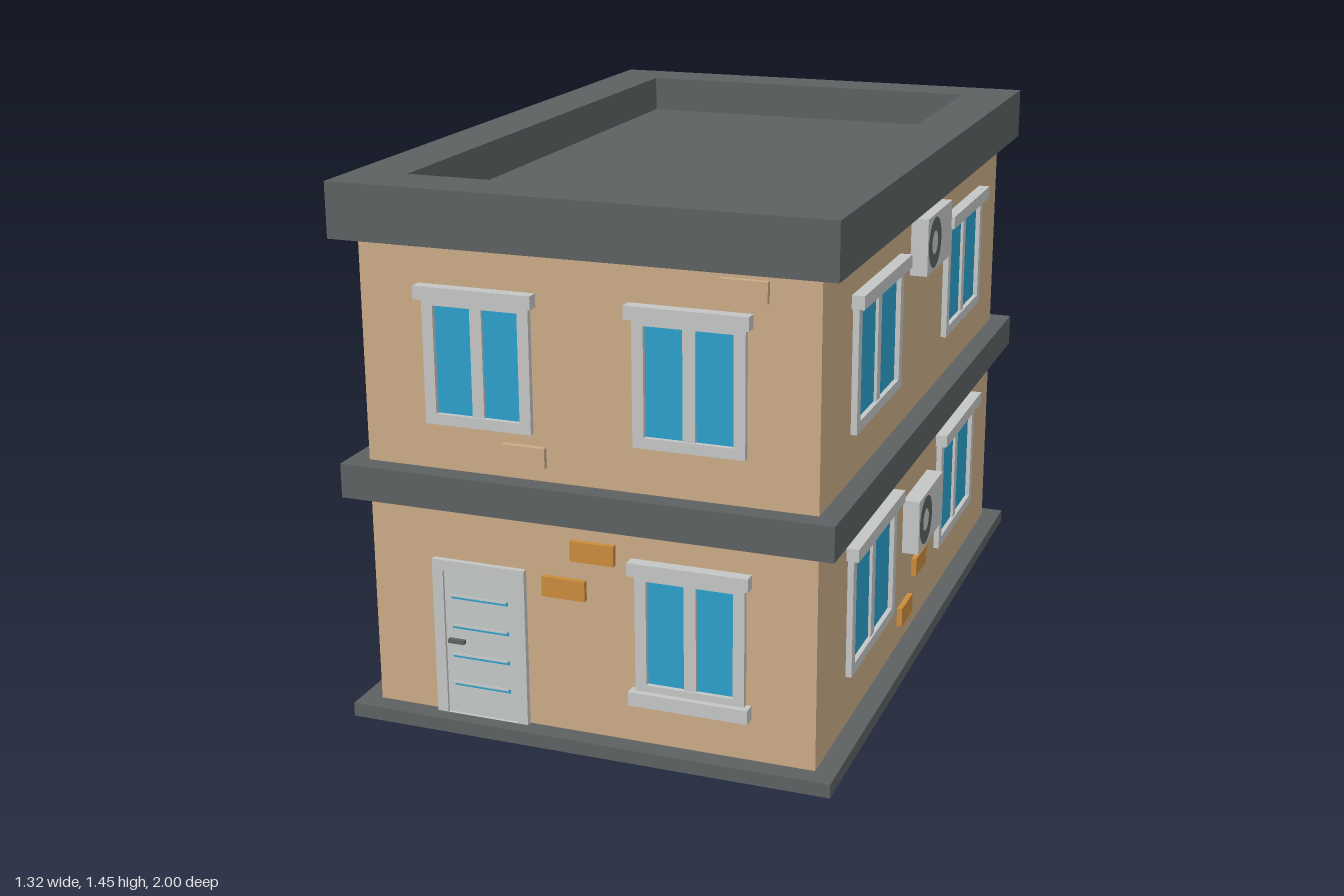
import * as THREE from 'three';

const mat = (name, color) => {
  const m = new THREE.MeshStandardMaterial({ color });
  m.name = name;
  return m;
};

export function createModel() {
  const plaster = mat('plaster', 0xc9aa86);
  const slate = mat('slate', 0x5c6062);
  const trim = mat('trim', 0xc3c5c5);
  const doorPaint = mat('doorPaint', 0xc2c8c7);
  const glass = mat('glass', 0x2d9fcc);
  const brickOrange = mat('brickOrange', 0xc98b3c);

  const house = new THREE.Group();
  house.name = 'house';

  const add = (parent, name, geometry, material) => {
    const mesh = new THREE.Mesh(geometry, material);
    mesh.name = name;
    parent.add(mesh);
    return mesh;
  };
  // Box given by its minimum and maximum corners
  const box = (parent, name, material, x0, x1, y0, y1, z0, z1) => {
    const mesh = add(parent, name, new THREE.BoxGeometry(x1 - x0, y1 - y0, z1 - z0), material);
    mesh.position.set((x0 + x1) / 2, (y0 + y1) / 2, (z0 + z1) / 2);
    return mesh;
  };
  const rect = (Type, x0, x1, y0, y1) => new Type([
    new THREE.Vector2(x0, y0), new THREE.Vector2(x1, y0),
    new THREE.Vector2(x1, y1), new THREE.Vector2(x0, y1),
  ]);
  // Rectangular ring, extruded along z
  const frame = (outer, inner, depth) => {
    const shape = rect(THREE.Shape, ...outer);
    shape.holes.push(rect(THREE.Path, ...inner));
    return new THREE.ExtrudeGeometry(shape, { depth, bevelEnabled: false });
  };

  // Walls and slabs
  const W = 0.605, D = 0.945;
  box(house, 'baseSlab', slate, -0.66, 0.66, 0, 0.037, -1, 1);
  box(house, 'lowerWalls', plaster, -W, W, 0.037, 0.62, -D, D);
  box(house, 'middleSlab', slate, -0.66, 0.66, 0.62, 0.712, -1, 1);
  box(house, 'upperWalls', plaster, -W, W, 0.712, 1.302, -D, D);

  // Roof slab with a raised parapet
  box(house, 'roofDeck', slate, -0.51, 0.51, 1.302, 1.345, -0.85, 0.85);
  const parapet = add(house, 'parapet',
    frame([-0.66, 0.66, -1, 1], [-0.51, 0.51, -0.85, 0.85], 0.145), slate);
  parapet.rotation.x = -Math.PI / 2;
  parapet.position.y = 1.302;

  // Wall groups: local x runs along the wall, z = 0 is its surface
  const wall = (name, angle, distance) => {
    const g = new THREE.Group();
    g.name = name;
    g.rotation.y = angle;
    g.position.set(Math.sin(angle) * distance, 0, Math.cos(angle) * distance);
    house.add(g);
    return g;
  };
  const front = wall('frontWall', 0, D);
  const back = wall('backWall', Math.PI, D);
  const leftSide = wall('leftWall', Math.PI / 2, W);
  const rightSide = wall('rightWall', -Math.PI / 2, W);

  // Window centred at x, with its frame's bottom edge at y
  const addWindow = (parent, x, y, halfWidth, sill) => {
    const g = new THREE.Group();
    g.name = 'window';
    g.position.set(x, y, 0);
    parent.add(g);
    const h = halfWidth, i = h - 0.03;
    add(g, 'windowFrame', frame([-h, h, 0, 0.33], [-i, i, 0.028, 0.31], 0.016), trim);
    box(g, 'windowGlass', glass, -i, i, 0.028, 0.31, 0, 0.003);
    box(g, 'mullion', trim, -0.016, 0.016, 0.028, 0.31, 0, 0.011);
    box(g, 'lintel', trim, -h - 0.014, h + 0.014, 0.326, 0.361, 0, 0.033);
    if (sill) box(g, 'sill', trim, -h - 0.014, h + 0.014, -0.027, 0.01, 0, 0.033);
  };
  addWindow(front, -0.283, 0.835, 0.145);
  addWindow(front, 0.278, 0.835, 0.145);
  addWindow(front, 0.278, 0.177, 0.145, true);
  for (const side of [leftSide, rightSide])
    for (const y of [0.177, 0.835])
      for (const s of [-1, 1]) addWindow(side, s * 0.471, y, 0.216);

  // Door
  const door = new THREE.Group();
  door.name = 'door';
  door.position.set(-0.3, 0.037, 0);
  front.add(door);
  const jamb = rect(THREE.Shape, -0.13, 0.13, 0, 0.43);
  jamb.holes.push(rect(THREE.Path, -0.1, 0.1, 0.0005, 0.4));
  add(door, 'doorFrame', new THREE.ExtrudeGeometry(jamb, { depth: 0.016, bevelEnabled: false }), trim);
  box(door, 'doorLeaf', doorPaint, -0.1, 0.1, 0, 0.4, 0, 0.008);
  for (const y of [0.085, 0.165, 0.247, 0.33]) {
    box(door, 'doorSlot', glass, -0.08, 0.08, y - 0.006, y + 0.004, 0.008, 0.01);
    box(door, 'doorSlotTrim', trim, -0.084, 0.075, y, y + 0.005, 0.008, 0.012);
  }
  box(door, 'doorHandle', slate, -0.09, -0.044, 0.202, 0.212, 0.008, 0.022);

  // Air conditioners with a round fan grille
  for (const y of [0.308, 1.11]) {
    const unit = new THREE.Group();
    unit.name = 'airConditioner';
    unit.position.y = y;
    leftSide.add(unit);
    box(unit, 'airConditionerCase', trim, -0.13, 0.14, 0, 0.157, 0, 0.047);
    const grille = add(unit, 'fanGrille', new THREE.RingGeometry(0.032, 0.07, 32), slate);
    grille.position.set(-0.055, 0.079, 0.0485);
  }

  // Exposed bricks: [x centre, y centre]
  const bricks = (parent, material, list) => {
    for (const [x, y] of list)
      box(parent, 'brick', material, x - 0.059, x + 0.059, y - 0.027, y + 0.027, 0, 0.015);
  };
  bricks(front, plaster, [[0.417, 1.252], [-0.163, 0.776]]);
  bricks(front, brickOrange, [[0.018, 0.54], [-0.062, 0.434]]);
  bricks(leftSide, brickOrange, [[-0.108, 0.127], [0.043, 0.22]]);
  bricks(rightSide, plaster, [[-0.03, 1.17], [-0.085, 1.087]]);
  bricks(rightSide, brickOrange, [[-0.01, 0.183]]);
  bricks(back, plaster, [[-0.177, 1.15], [0.29, 0.826]]);
  bricks(back, brickOrange, [[-0.25, 0.367], [0.112, 0.485], [0.178, 0.17]]);

  return house;
}
